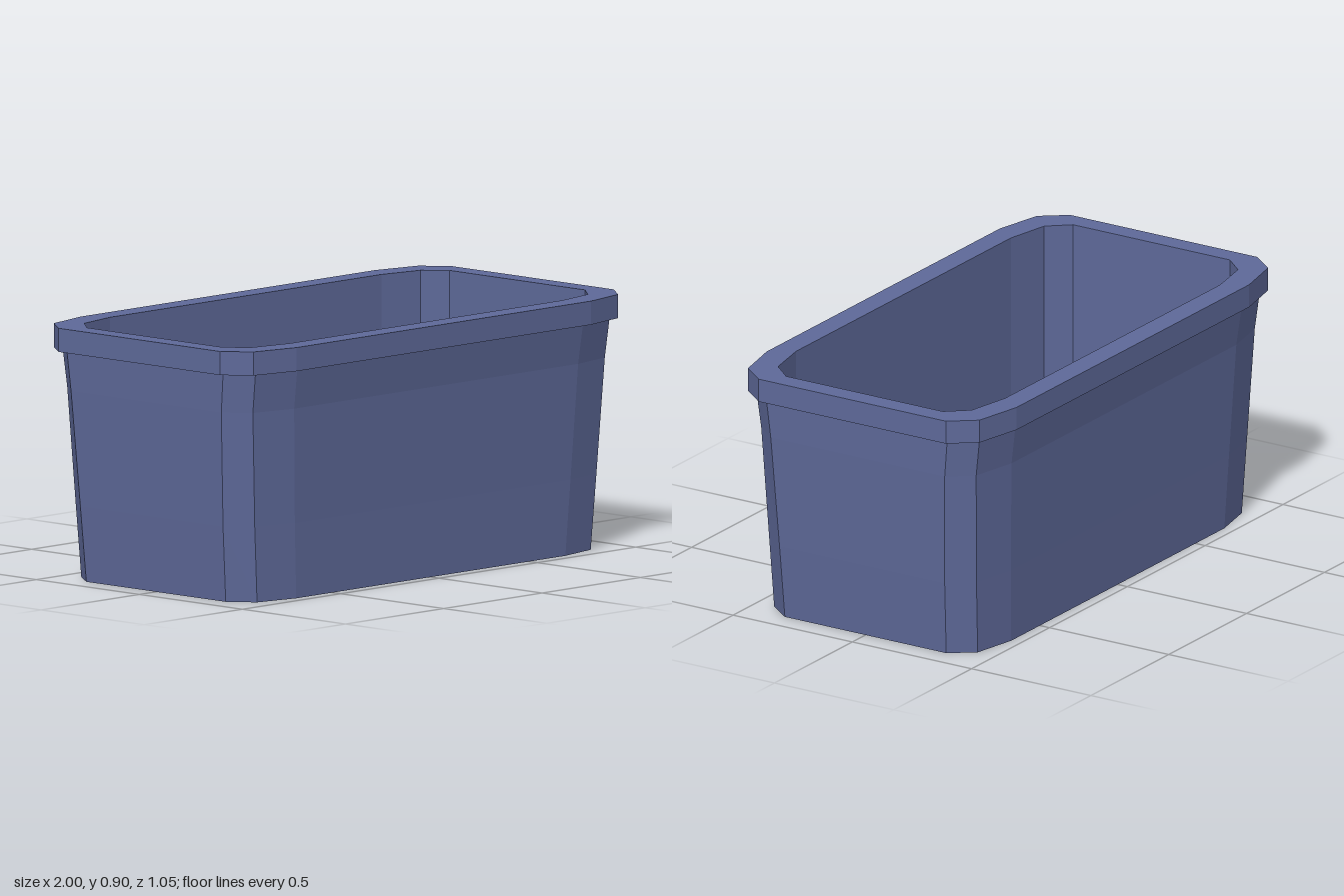
import * as THREE from 'three';

// Chamfered oblong loop with half-width hx and half-depth hz at height y,
// running from +x towards +z; endFlat is the straight share of the short side.
function ring(hx, hz, y, endFlat = 0.75) {
  const quarter = [[1, endFlat], [0.927, 0.927], [0.748, 1]];
  const back = [...quarter].reverse();
  const unit = [
    ...quarter,
    ...back.map(([x, z]) => [-x, z]),
    ...quarter.map(([x, z]) => [-x, -z]),
    ...back.map(([x, z]) => [x, -z]),
  ];
  return unit.map(([x, z]) => new THREE.Vector3(x * hx, y, z * hz));
}

// Joins successive loops with flat facets; can close the first or last loop.
function skin(rings, { capFirst = false, capLast = false } = {}) {
  const pts = [];
  for (let r = 0; r < rings.length - 1; r++) {
    const a = rings[r], b = rings[r + 1];
    for (let i = 0; i < a.length; i++) {
      const j = (i + 1) % a.length;
      pts.push(a[i], b[i], b[j], a[i], b[j], a[j]);
    }
  }
  const cap = (loop, flip) => {
    for (let i = 1; i < loop.length - 1; i++) {
      pts.push(loop[0], ...(flip ? [loop[i + 1], loop[i]] : [loop[i], loop[i + 1]]));
    }
  };
  if (capFirst) cap(rings[0], false);
  if (capLast) cap(rings[rings.length - 1], true);
  const geometry = new THREE.BufferGeometry().setFromPoints(pts);
  geometry.computeVertexNormals();
  return geometry;
}

export function createModel() {
  const group = new THREE.Group();
  group.name = 'planter';
  const bluePlastic = new THREE.MeshStandardMaterial({ color: 0x5e6999 });
  bluePlastic.name = 'slate blue';

  const add = (name, geometry) => {
    const mesh = new THREE.Mesh(geometry, bluePlastic);
    mesh.name = name;
    group.add(mesh);
  };

  // Tapered outer wall with a closed base, flaring under the rim
  add('outerWall', skin([
    ring(0.915, 0.46, 0, 0.735),
    ring(0.937, 0.469, 0.27, 0.738),
    ring(0.965, 0.486, 0.68),
    ring(0.971, 0.505, 0.82),
  ], { capFirst: true }));

  // Overhanging rim: underside, outer band and top face
  add('rim', skin([
    ring(0.971, 0.505, 0.82),
    ring(1, 0.523, 0.82),
    ring(1, 0.523, 0.904),
    ring(0.922, 0.438, 0.904),
  ]));

  // Straight inner wall down to a thin floor
  add('innerWallAndFloor', skin([
    ring(0.922, 0.438, 0.904),
    ring(0.922, 0.438, 0.09),
  ], { capLast: true }));

  return group;
}
